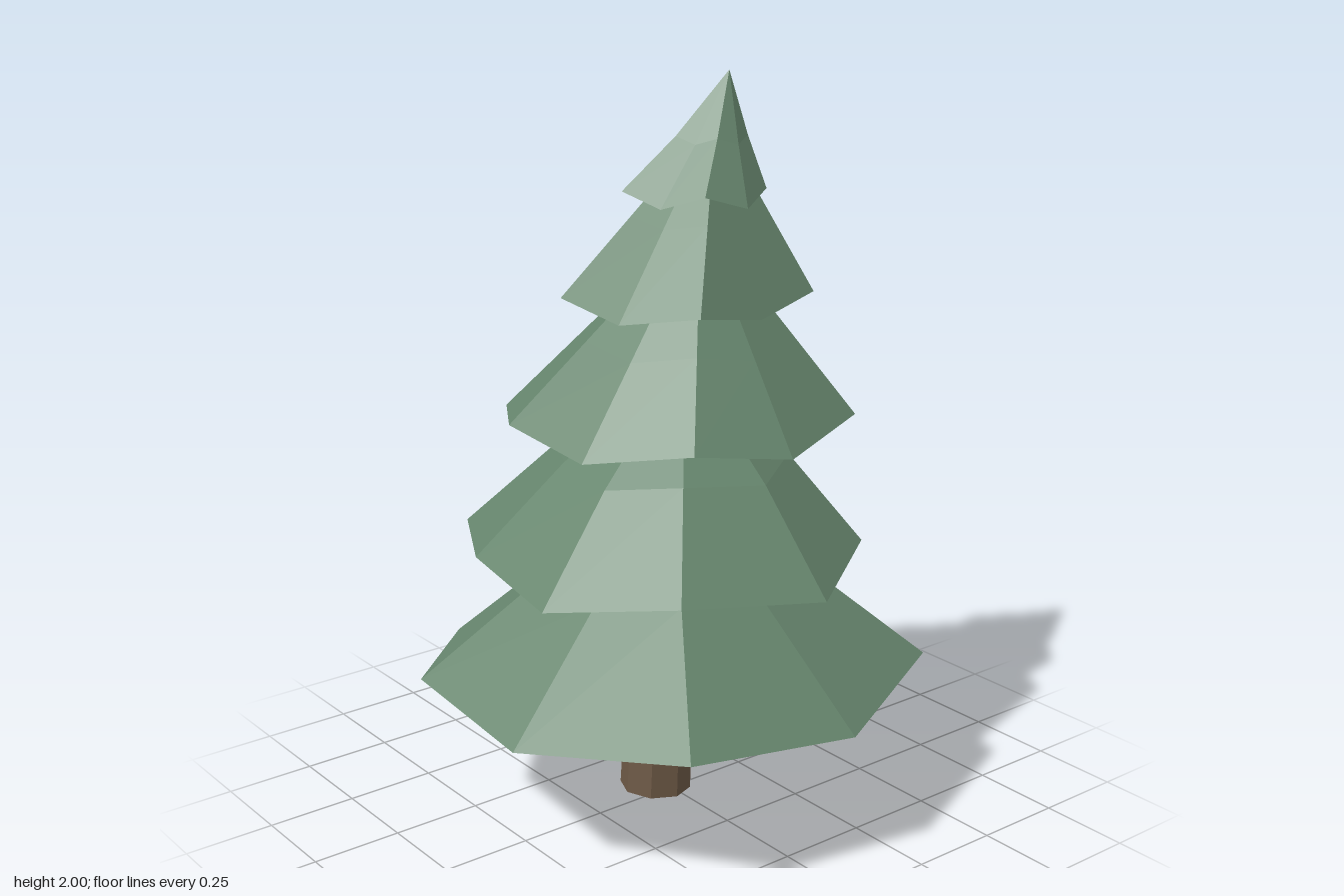
import * as THREE from 'three';

const needles = new THREE.MeshStandardMaterial({ color: 0x66856d, flatShading: true });
needles.name = 'needleGreen';
const bark = new THREE.MeshStandardMaterial({ color: 0x6c5845, flatShading: true });
bark.name = 'barkBrown';

// Each tier: nine rim corners [x, z] going round from +x through +z,
// alternating low / high, a bend ring part-way up, and a leaning apex.
const tiers = [
  { low: 0.38, high: 0.42, apex: [0.03, 0.9, -0.03], bend: 0.5, bump: 0.025,
    rim: [[0.64, -0.04], [0.545, 0.44], [0.09, 0.65], [-0.395, 0.58], [-0.65, 0.18],
      [-0.645, -0.27], [-0.33, -0.58], [0.11, -0.62], [0.42, -0.42]] },
  { low: 0.715, high: 0.75, apex: [0.08, 1.245, -0.04], bend: 0.42, bump: 0.03,
    rim: [[0.6, -0.04], [0.41, 0.32], [0.09, 0.53], [-0.29, 0.41], [-0.525, 0.14],
      [-0.49, -0.22], [-0.295, -0.57], [0.115, -0.65], [0.42, -0.4]] },
  { low: 1.063, high: 1.1, apex: [0.13, 1.62, -0.04], bend: 0.4, bump: 0,
    rim: [[0.525, -0.04], [0.41, 0.28], [0.09, 0.39], [-0.17, 0.31], [-0.36, 0.09],
      [-0.38, -0.21], [-0.21, -0.48], [0.115, -0.48], [0.42, -0.36]] },
  { low: 1.395, high: 1.43, apex: [0.18, 1.88, -0.04], bend: 0.45, bump: 0,
    rim: [[0.405, -0.04], [0.34, 0.18], [0.115, 0.23], [-0.095, 0.24], [-0.21, 0.05],
      [-0.235, -0.17], [-0.08, -0.335], [0.14, -0.325], [0.295, -0.225]] },
  { low: 1.665, high: 1.7, apex: [0.225, 2, -0.04], bend: 0.5, bump: -0.015,
    rim: [[0.315, -0.04], [0.26, 0.075], [0.15, 0.13], [0.04, 0.09], [-0.035, 0],
      [-0.07, -0.12], [0.035, -0.19], [0.165, -0.215], [0.29, -0.17]] },
];

function tierGeometry({ low, high, apex, bend, bump, rim }) {
  const top = new THREE.Vector3(...apex);
  const outer = rim.map(([x, z], i) => new THREE.Vector3(x, i % 2 ? high : low, z));
  const middle = outer.map((p) => {
    const m = p.clone().lerp(top, bend);
    m.y += bump;
    return m;
  });
  const under = new THREE.Vector3();
  outer.forEach((p) => under.addScaledVector(p, 1 / outer.length));
  under.y = (low + high) / 2 + 0.01;

  const positions = [];
  const tri = (...pts) => pts.forEach((p) => positions.push(p.x, p.y, p.z));
  outer.forEach((a, i) => {
    const j = (i + 1) % outer.length;
    tri(top, middle[j], middle[i]);
    tri(middle[i], middle[j], outer[j]);
    tri(middle[i], outer[j], a);
    tri(under, a, outer[j]);
  });
  const geometry = new THREE.BufferGeometry();
  geometry.setAttribute('position', new THREE.Float32BufferAttribute(positions, 3));
  geometry.computeVertexNormals();
  return geometry;
}

// Tapered limb running from one point to another
function limb(name, from, to, r0, r1, sides) {
  const dir = to.clone().sub(from);
  const mesh = new THREE.Mesh(new THREE.CylinderGeometry(r1, r0, dir.length(), sides), bark);
  mesh.position.copy(from).add(to).multiplyScalar(0.5);
  mesh.quaternion.setFromUnitVectors(new THREE.Vector3(0, 1, 0), dir.normalize());
  mesh.name = name;
  return mesh;
}

export function createModel() {
  const tree = new THREE.Group();
  tree.name = 'pineTree';

  // Leaning trunk, its top hidden in the foliage
  tree.add(limb('trunk', new THREE.Vector3(-0.03, 0.006, -0.035),
    new THREE.Vector3(0.01, 0.7, -0.04), 0.1, 0.085, 8));

  // Bare branches spreading under the lowest tier
  const branches = new THREE.Group();
  branches.name = 'branches';
  for (let i = 0; i < 8; i++) {
    const a = (i * Math.PI) / 4;
    const at = (r, y) => new THREE.Vector3(r * Math.cos(a) - 0.005, y, r * Math.sin(a) - 0.04);
    branches.add(limb('branch', at(0.04, 0.4), at(0.51, 0.348), 0.022, 0.004, 5));
  }
  tree.add(branches);

  // Foliage skirts
  tiers.forEach((tier, i) => {
    const mesh = new THREE.Mesh(tierGeometry(tier), needles);
    mesh.name = `foliageTier${i + 1}`;
    tree.add(mesh);
  });
  return tree;
}
